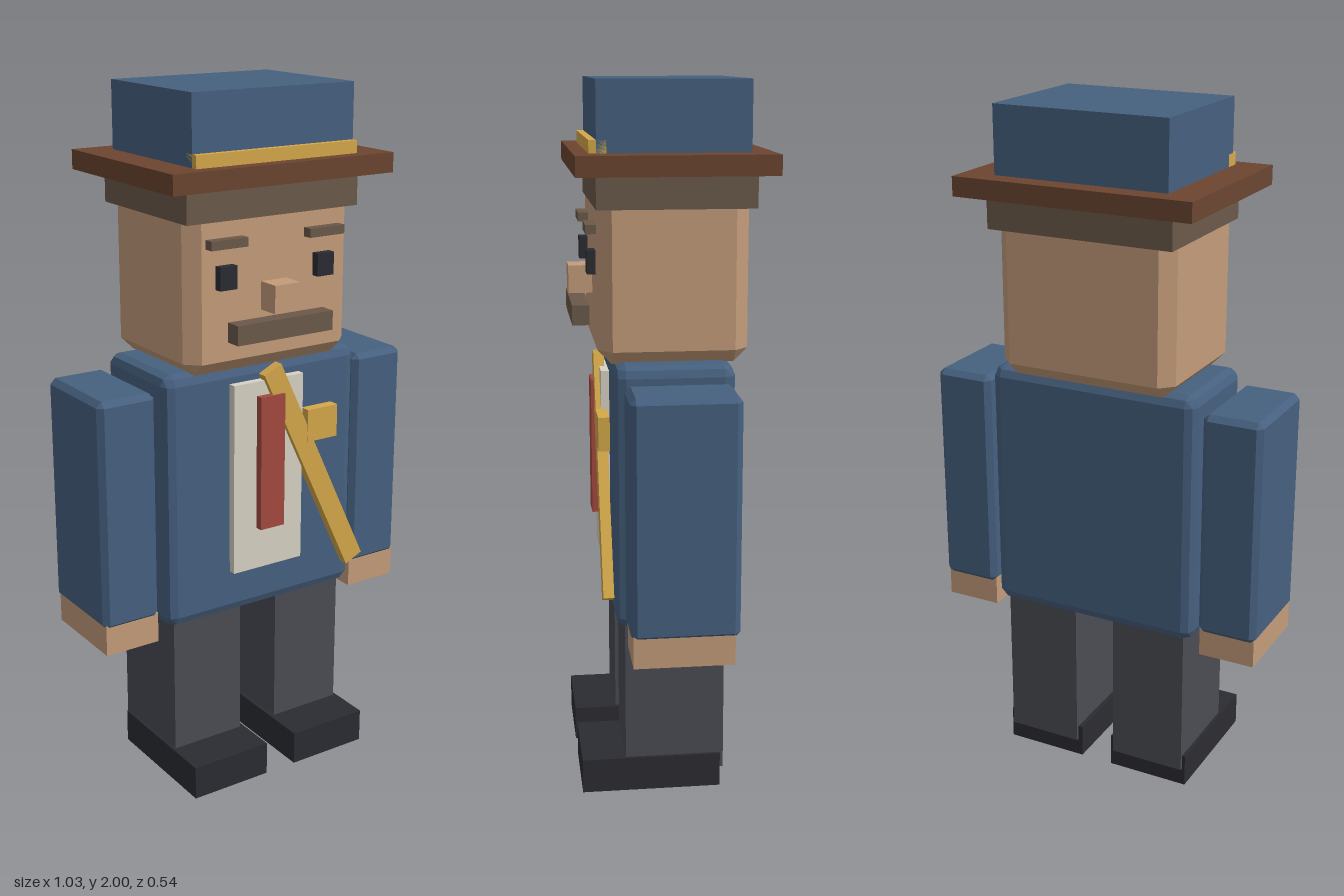
import * as THREE from 'three';
import { ConvexGeometry } from 'three/addons/geometries/ConvexGeometry.js';

const COLORS = {
  blue: 0x46607f, skin: 0xc49c7a, brown: 0x6b4530, hair: 0x6b594a, gold: 0xd4a84a,
  trousers: 0x4a4c54, dark: 0x2b2c32, shirt: 0xd8d2c4, red: 0xa34a3f,
};
const materials = {};
for (const key in COLORS) {
  materials[key] = new THREE.MeshStandardMaterial({ color: COLORS[key], flatShading: true });
}

// Box with bevelled edges and corners; steps = bevel facets per edge (1 or 2)
function bevelBox(w, h, d, bevel, steps) {
  const dirs = [[1, 0, 0], [0, 1, 0], [0, 0, 1]];
  if (steps === 2) dirs.push([1, 1, 0], [0, 1, 1], [1, 0, 1]);
  const points = [];
  for (const sx of [-1, 1]) for (const sy of [-1, 1]) for (const sz of [-1, 1]) {
    for (const dir of dirs) {
      const p = new THREE.Vector3(...dir).normalize().multiplyScalar(bevel);
      p.add(new THREE.Vector3(w / 2 - bevel, h / 2 - bevel, d / 2 - bevel));
      points.push(p.multiply(new THREE.Vector3(sx, sy, sz)));
    }
  }
  return new ConvexGeometry(points);
}

export function createModel() {
  const model = new THREE.Group();
  model.name = 'figure';

  // Adds a box given by its extents on each axis
  function box(name, color, [x0, x1], [y0, y1], [z0, z1], bevel = 0, steps = 1) {
    const size = [x1 - x0, y1 - y0, z1 - z0];
    const geometry = bevel ? bevelBox(...size, bevel, steps) : new THREE.BoxGeometry(...size);
    const mesh = new THREE.Mesh(geometry, materials[color]);
    mesh.name = name;
    mesh.position.set((x0 + x1) / 2, (y0 + y1) / 2, (z0 + z1) / 2);
    model.add(mesh);
    return mesh;
  }

  // Same box on both sides, mirrored about the body's middle
  const MID = -0.003;
  function pair(name, color, [x0, x1], y, z, bevel) {
    box('left' + name, color, [MID + x0, MID + x1], y, z, bevel);
    box('right' + name, color, [MID - x1, MID - x0], y, z, bevel);
  }

  // Hat
  box('hatCrown', 'blue', [-0.26, 0.257], [1.8, 2], [-0.207, 0.207]);
  box('hatBand', 'gold', [-0.26, 0.257], [1.8, 1.845], [0.18, 0.227]);
  box('hatBrim', 'brown', [-0.355, 0.352], [1.755, 1.81], [-0.27, 0.268]);

  // Head and face
  box('hair', 'hair', [-0.28, 0.275], [1.664, 1.757], [-0.222, 0.21]);
  box('head', 'skin', [-0.271, 0.265], [1.243, 1.74], [-0.205, 0.206], 0.038);
  pair('Eye', 'dark', [0.132, 0.187], [1.483, 1.547], [0.2, 0.23]);
  pair('Eyebrow', 'hair', [0.101, 0.217], [1.595, 1.62], [0.2, 0.235]);
  box('nose', 'skin', [-0.043, 0.04], [1.41, 1.488], [0.2, 0.273]);
  box('moustache', 'hair', [-0.16, 0.154], [1.338, 1.393], [0.222, 0.27]);

  // Jacket with shirt front and tie
  box('jacket', 'blue', [-0.324, 0.318], [0.503, 1.248], [-0.162, 0.167], 0.03, 2);
  box('shirtFront', 'shirt', [-0.119, 0.115], [0.637, 1.2], [0.15, 0.19]);
  box('tie', 'red', [-0.043, 0.038], [0.763, 1.158], [0.18, 0.213]);

  // Diagonal strap with a badge beside it
  const strap = box('strap', 'gold', [0.121, 0.183], [0.557, 1.265], [0.175, 0.205]);
  strap.rotation.z = 0.442;
  box('badge', 'gold', [0.122, 0.226], [0.996, 1.092], [0.175, 0.207]);

  // Arms, hands, legs and shoes
  pair('Arm', 'blue', [0.338, 0.514], [0.54, 1.206], [-0.151, 0.145], 0.016);
  pair('Hand', 'skin', [0.341, 0.508], [0.465, 0.555], [-0.137, 0.139]);
  pair('Leg', 'trousers', [0.063, 0.291], [0.055, 0.52], [-0.14, 0.142]);
  pair('Shoe', 'dark', [0.05, 0.3], [0, 0.1], [-0.13, 0.267]);

  return model;
}
